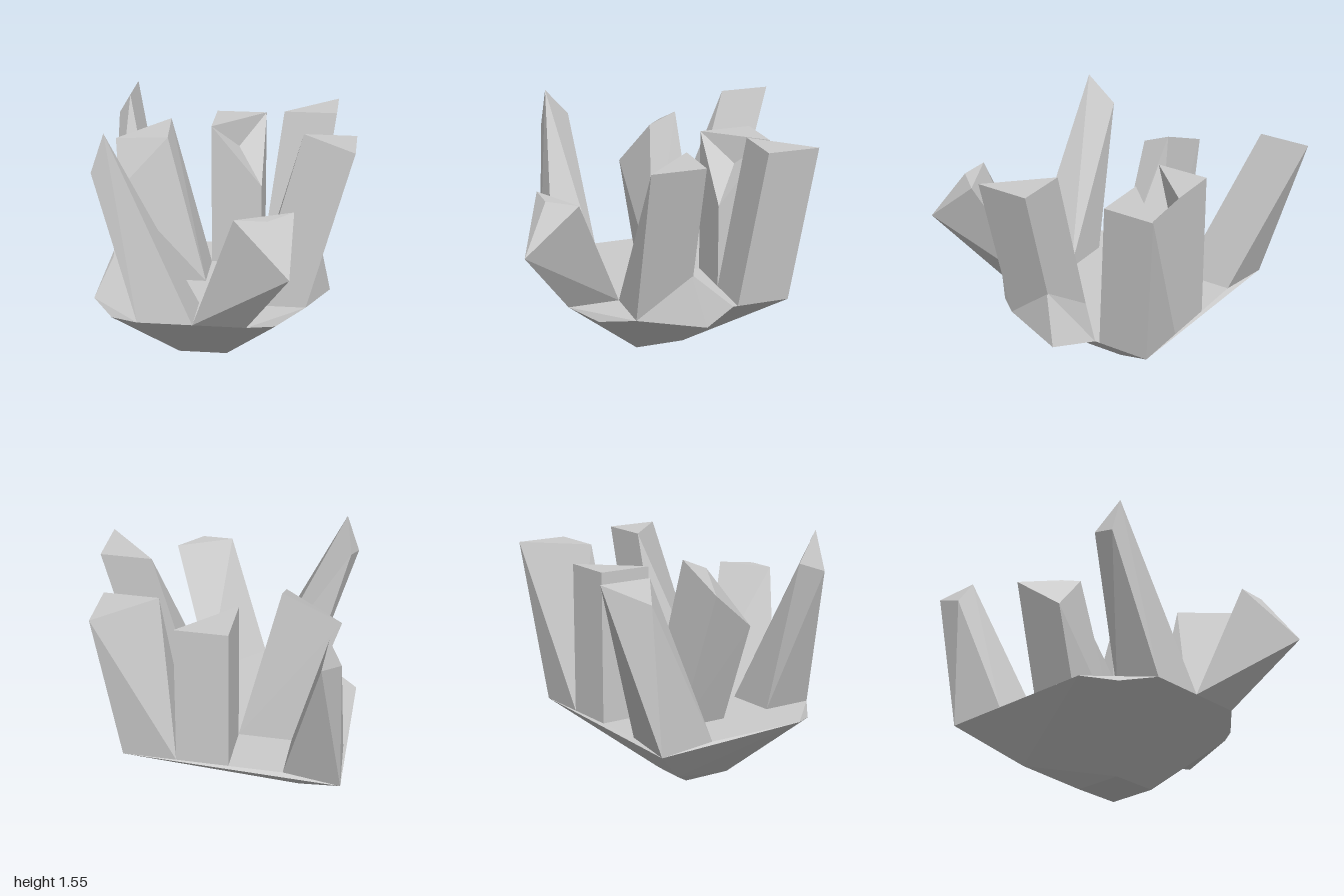
import * as THREE from 'three';
import { ConvexGeometry } from 'three/addons/geometries/ConvexGeometry.js';

const TOP = 0.42; // height of the flat top of the base rock
const material = new THREE.MeshStandardMaterial({ color: 0xcccccc, flatShading: true });

const rim = (x, z) => [x, TOP, z];

// The four corners of a square footprint on the base
const cell = (x0, x1, z0, z1) => [rim(x0, z0), rim(x1, z0), rim(x1, z1), rim(x0, z1)];

// A faceted solid around a few corner points
function facet(name, points) {
  const geometry = new ConvexGeometry(points.map((p) => new THREE.Vector3(...p)));
  const mesh = new THREE.Mesh(geometry, material);
  mesh.name = name;
  return mesh;
}

// Square pillar whose front right corner is chipped into a shallow pit
function chippedPillar() {
  const [x0, x1, z0, z1, y] = [-0.12, 0.2, -0.63, -0.3, 1.34];
  const points = [
    ...cell(x0, x1, z0, z1),
    [x0, y, z0], [x1, y, z0], [x1, 0.95, z1], [x0, y, z1],
    [0.04, 1.16, -0.465],
  ];
  const faces = [
    1, 0, 4, 1, 4, 5, 0, 3, 7, 0, 7, 4, // back, left
    3, 2, 6, 3, 6, 7, 2, 1, 5, 2, 5, 6, // front, right
    4, 7, 5, 7, 8, 5, 7, 6, 8, 8, 6, 5, // top and pit
  ];
  const indexed = new THREE.BufferGeometry();
  indexed.setAttribute('position', new THREE.Float32BufferAttribute(points.flat(), 3));
  indexed.setIndex(faces);
  const geometry = indexed.toNonIndexed();
  geometry.computeVertexNormals();
  const mesh = new THREE.Mesh(geometry, material);
  mesh.name = 'chippedPillar';
  return mesh;
}

export function createModel() {
  const group = new THREE.Group();
  group.name = 'crystalCluster';

  const backLeftCorner = [-0.8, 0.4, -0.67];

  group.add(
    // Base rock: flat on top, tapering to a small foot
    facet('baseRock', [
      backLeftCorner, rim(-0.45, -0.63), rim(0.53, -0.63), rim(0.53, 0.35),
      [0.36, 0.37, 0.53], rim(0.2, 0.67), rim(-0.45, 0.67), [-0.63, 0.38, 0.53],
      rim(-0.77, 0.35), rim(-0.77, -0.3), [-0.51, 0.14, -0.36],
      [-0.27, 0, -0.13], [0.03, 0, -0.13], [0.03, 0, 0.18], [-0.27, 0, 0.18],
    ]),

    // Back row
    facet('backLeftCrystal', [
      backLeftCorner, rim(-0.45, -0.63), rim(-0.45, -0.3), rim(-0.77, -0.3),
      [-0.7, 1.415, -1], [-0.78, 1.28, -0.72], [-0.7, 1.415, -0.68],
    ]),
    chippedPillar(),
    facet('backRightCrystal', [
      ...cell(0.2, 0.53, -0.63, -0.3),
      [0.33, 1.415, -0.42], [0.66, 1.415, -0.42], [0.66, 1.415, -0.74],
    ]),

    // Middle
    facet('middleLeaningCrystal', [
      ...cell(-0.45, -0.12, -0.3, 0.02),
      [-0.36, 1.41, -0.22], [-0.36, 1.34, -0.05], [-0.72, 1.26, -0.24], [-0.65, 1.03, 0.06],
    ]),
    facet('rightCrystal', [
      ...cell(0.2, 0.53, 0.02, 0.35),
      [0.48, 1.415, 0.02], [0.8, 1.415, 0.02], [0.8, 1.415, 0.35],
    ]),
    facet('sideShard', [
      rim(0.2, 0.02), rim(0.53, 0.35), rim(0.53, -0.27), [0.66, 0.37, -0.05], [0.6, 0.7, 0.03],
    ]),

    // Front row
    facet('frontLeftSpike', [
      ...cell(-0.45, -0.12, 0.35, 0.67),
      [-0.64, 1.55, 0.55], [-0.69, 1.37, 0.39], [-0.72, 1.31, 0.56],
    ]),
    facet('frontLeaningCrystal', [
      rim(0.2, 0.35), rim(0.2, 0.67), rim(-0.12, 0.67),
      [0.14, 1.16, 0.83], [0.33, 1.16, 0.83], [0.47, 1.16, 0.67], [0.47, 0.88, 1],
    ]),
  );
  return group;
}
